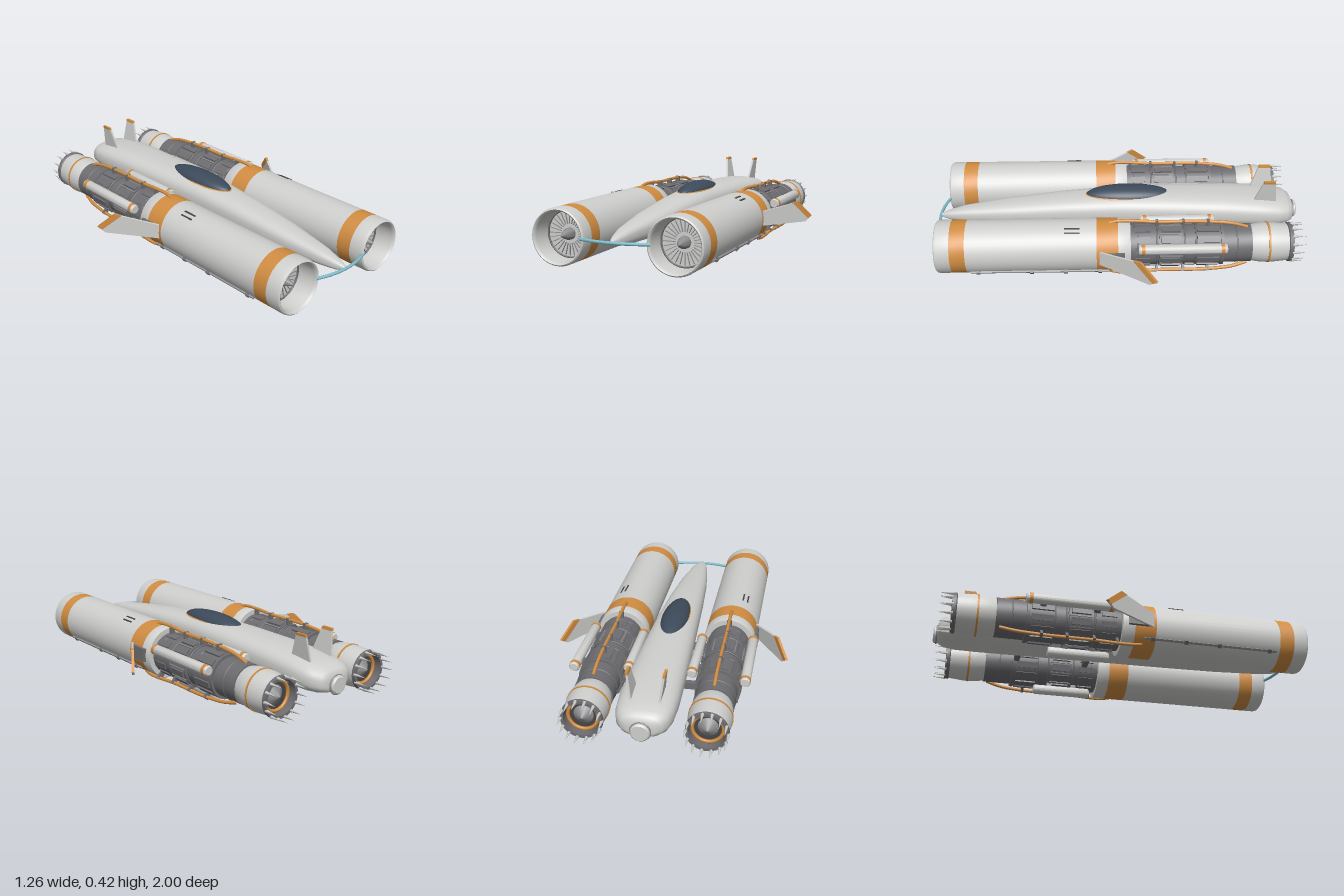
import * as THREE from 'three';
import { toCreasedNormals } from 'three/addons/utils/BufferGeometryUtils.js';

const mat = (name, color, side = THREE.FrontSide) => {
  const m = new THREE.MeshStandardMaterial({ color, side });
  m.name = name;
  return m;
};
const hull = mat('hull grey', 0xcfcfcd, THREE.DoubleSide);
const orange = mat('orange trim', 0xd18d42);
const dark = mat('engine grey', 0x6e6e72);
const mid = mat('mid grey', 0x8e8e90);
const black = mat('shadow grey', 0x46464a);
const glass = mat('canopy glass', 0x3c4a5a);
const teal = mat('energy teal', 0x7fbccb);

const EY = 0.176; // engine axis height
const EX = 0.3;   // engine axis offset

function add(parent, name, geo, material, x = 0, y = 0, z = 0) {
  const m = new THREE.Mesh(geo, material);
  m.name = name;
  m.position.set(x, y, z);
  parent.add(m);
  return m;
}

// Surface of revolution about z from [z, radius] pairs, back to front
function lathe(pts, seg = 40) {
  const g = new THREE.LatheGeometry(pts.map(([z, r]) => new THREE.Vector2(r, z)), seg);
  g.rotateX(Math.PI / 2);
  return toCreasedNormals(g, 0.6);
}
const drum = (z0, z1, r, seg) => lathe([[z0, 0], [z0, r], [z1, r], [z1, 0]], seg);

// Box placed on the engine surface at angle a
function surfaceBox(parent, name, material, a, r, z, w, h, len) {
  const m = add(parent, name, new THREE.BoxGeometry(h, w, len), material, Math.cos(a) * r, Math.sin(a) * r, z);
  m.rotation.z = a;
  return m;
}

function plate(points, depth) {
  const g = new THREE.ExtrudeGeometry(new THREE.Shape(points.map(p => new THREE.Vector2(...p))), { depth, bevelEnabled: false });
  return g.translate(0, 0, -depth / 2);
}

// Lofted body: [z, half width, bottom, top], nose to tail
function fuselageGeometry() {
  const rows = [
    [0.992, 0.003, 0.173, 0.179], [0.975, 0.013, 0.163, 0.19], [0.94, 0.026, 0.153, 0.203],
    [0.85, 0.047, 0.146, 0.226], [0.6, 0.08, 0.141, 0.262], [0.3, 0.102, 0.14, 0.295],
    [0, 0.118, 0.14, 0.317], [-0.3, 0.132, 0.14, 0.32], [-0.6, 0.142, 0.14, 0.315],
    [-0.78, 0.146, 0.14, 0.305], [-0.88, 0.14, 0.141, 0.292], [-0.935, 0.125, 0.145, 0.28],
    [-0.965, 0.1, 0.153, 0.263], [-0.977, 0.07, 0.165, 0.24], [-0.98, 0.003, 0.198, 0.2],
  ];
  const N = 40, pos = [], idx = [];
  const pw = v => Math.sign(v) * Math.abs(v) ** (2 / 2.6);
  rows.forEach(([z, w, b, t], i) => {
    for (let j = 0; j < N; j++) {
      const a = (j / N) * Math.PI * 2;
      pos.push(w * pw(Math.cos(a)), (b + t) / 2 + ((t - b) / 2) * pw(Math.sin(a)), z);
      if (i === rows.length - 1) continue;
      const k = (j + 1) % N, p = i * N, q = p + N;
      idx.push(p + j, q + j, p + k, q + j, q + k, p + k);
    }
  });
  const g = new THREE.BufferGeometry();
  g.setAttribute('position', new THREE.Float32BufferAttribute(pos, 3));
  g.setIndex(idx);
  g.computeVertexNormals();
  return g;
}

function buildEngine(s) {
  const e = new THREE.Group();
  e.name = s > 0 ? 'leftEngine' : 'rightEngine';
  e.position.set(s * EX, EY, 0);
  const ang = a => (s > 0 ? a : Math.PI - a); // mirror an angle

  // Cowl in painted sections
  add(e, 'cowlRear', lathe([[-0.06, 0.1], [-0.06, 0.137], [-0.05, 0.141], [0.005, 0.141]]), hull);
  add(e, 'cowlRearBand', lathe([[0.005, 0.141], [0.117, 0.141]]), orange);
  add(e, 'cowl', lathe([[0.117, 0.141], [0.8, 0.141]]), hull);
  add(e, 'cowlFrontBand', lathe([[0.8, 0.141], [0.88, 0.141]]), orange);
  add(e, 'intakeLip', lathe([[0.88, 0.141], [0.945, 0.141], [0.957, 0.138], [0.962, 0.132], [0.957, 0.126], [0.945, 0.122], [0.84, 0.12]]), hull);

  // Intake fan
  add(e, 'fanDisc', drum(0.82, 0.84, 0.121), hull);
  add(e, 'fanRing', new THREE.TorusGeometry(0.117, 0.005, 8, 40), dark, 0, 0, 0.845);
  for (let i = 0; i < 28; i++) surfaceBox(e, 'fanBlade', mid, (i / 28) * Math.PI * 2, 0.078, 0.842, 0.003, 0.06, 0.008);
  add(e, 'spinner', lathe([[0.84, 0.03], [0.86, 0.029], [0.89, 0.019], [0.92, 0.004], [0.922, 0]], 24), mid);

  // Exposed machinery core
  add(e, 'core', lathe([[-0.7, 0], [-0.7, 0.102], [-0.55, 0.102], [-0.55, 0.116], [-0.535, 0.116], [-0.535, 0.11],
    [-0.4, 0.11], [-0.4, 0.104], [-0.335, 0.104], [-0.335, 0.113], [-0.21, 0.113], [-0.21, 0.105],
    [-0.195, 0.105], [-0.195, 0.111], [-0.05, 0.111]]), dark);
  for (const z of [-0.405, -0.345, -0.2, -0.1, -0.62])
    add(e, 'coreRing', new THREE.TorusGeometry(z < -0.6 ? 0.101 : 0.109, 0.004, 8, 40), dark, 0, 0, z);
  for (let i = 0; i < 12; i++) {
    const a = ((i + 0.5) / 12) * Math.PI * 2;
    surfaceBox(e, 'rearPanel', dark, a, 0.111, -0.468, 0.032, 0.012, 0.115);
    surfaceBox(e, 'middlePanel', dark, a, 0.114, -0.272, 0.036, 0.012, 0.1);
    surfaceBox(e, 'coreRib', mid, a + 0.26, 0.112, -0.272, 0.005, 0.012, 0.12);
    surfaceBox(e, 'frontPanel', dark, a, 0.111, -0.125, 0.03, 0.01, 0.08);
  }

  // Fuel lines with clamps
  for (const a of [Math.PI / 2, ang(-0.93)]) {
    const path = [[0.05, 0.138], [0, 0.148], [-0.1, 0.147], [-0.2, 0.14], [-0.4, 0.14], [-0.5, 0.136], [-0.6, 0.125], [-0.68, 0.102]]
      .map(([z, r]) => new THREE.Vector3(Math.cos(a) * r, Math.sin(a) * r, z));
    add(e, 'fuelLine', new THREE.TubeGeometry(new THREE.CatmullRomCurve3(path), 32, 0.009, 8), orange);
    for (const z of [-0.08, -0.2, -0.34, -0.47]) surfaceBox(e, 'lineClamp', dark, a, 0.13, z, 0.026, 0.036, 0.014);
  }

  // Side and belly pods with banded ends
  for (const [x, y, r, z0, z1] of [[0.137, 0.06, 0.026, -0.56, -0.1], [-0.137, 0.058, 0.025, -0.52, -0.12], [-0.04, -0.146, 0.027, -0.42, -0.1]]) {
    const p = new THREE.Group();
    p.name = 'pod';
    p.position.set(s * x, y, 0);
    e.add(p);
    add(p, 'podBody', lathe([[z0, 0], [z0, r * 0.8], [z0 + 0.008, r], [z1 - 0.008, r], [z1, r * 0.8], [z1, 0]], 20), hull);
    if (y > 0) for (const z of [z0 + 0.015, z1 - 0.033]) add(p, 'podBand', drum(z, z + 0.018, r + 0.002, 20), orange);
    const a = Math.atan2(y, s * x);
    for (const z of [z0 + 0.09, z1 - 0.09]) surfaceBox(e, 'podMount', dark, a, 0.122, z, 0.03, 0.03, 0.03);
  }

  // Exhaust nozzle
  add(e, 'nozzle', lathe([[-0.9, 0.098], [-0.88, 0.1], [-0.82, 0.106], [-0.76, 0.106], [-0.72, 0.1], [-0.695, 0.094], [-0.695, 0]]), hull);
  add(e, 'nozzleBand', drum(-0.797, -0.787, 0.109), orange);
  add(e, 'nozzleRim', lathe([[-0.86, 0.086], [-0.92, 0.088], [-0.92, 0.103], [-0.9, 0.105], [-0.895, 0.098]]), dark);
  add(e, 'nozzleBack', drum(-0.87, -0.85, 0.09), black);
  add(e, 'exhaustRing', new THREE.TorusGeometry(0.074, 0.009, 10, 36), orange, 0, 0, -0.882);
  add(e, 'exhaustCone', lathe([[-0.91, 0], [-0.87, 0.05], [-0.86, 0.05]], 24), mid);
  for (let i = 0; i < 14; i++) {
    const a = (i / 14) * Math.PI * 2;
    const spike = new THREE.ConeGeometry(0.009, 0.075, 6).rotateX(-Math.PI / 2);
    add(e, 'nozzleSpike', spike, hull, Math.cos(a) * 0.1, Math.sin(a) * 0.1, -0.95);
  }

  // Cowl vents and lower rail
  for (const x of [0.045, 0.07]) {
    const a = Math.atan2(Math.sqrt(0.141 ** 2 - x * x), s * x);
    surfaceBox(e, 'vent', black, a, 0.14, 0.245, 0.008, 0.008, 0.08);
  }
  const ra = ang(-0.66);
  surfaceBox(e, 'rail', mid, ra, 0.144, 0.415, 0.012, 0.012, 0.73);
  for (const z of [0.1, 0.28, 0.46, 0.74]) surfaceBox(e, 'railBracket', dark, ra, 0.146, z, 0.02, 0.018, 0.02);

  // Swept stabiliser with painted tip
  surfaceBox(e, 'wingMount', dark, ang(0.03), 0.143, 0.025, 0.07, 0.02, 0.11);
  const wing = new THREE.Group();
  wing.name = 'wing';
  wing.position.set(s * 0.135, -EY, 0.1);
  wing.rotation.y = s > 0 ? 0.987 : Math.PI - 0.987;
  e.add(wing);
  add(wing, 'wingPanel', plate([[0, 0.145], [0.3, 0.14], [0.34, 0.168], [0.243, 0.253], [0, 0.222]], 0.011), hull);
  add(wing, 'wingTip', plate([[0.318, 0.155], [0.345, 0.17], [0.246, 0.256], [0.205, 0.25]], 0.014), orange);
  return e;
}

export function createModel() {
  const model = new THREE.Group();
  model.name = 'racer';

  // Central body
  add(model, 'fuselage', fuselageGeometry(), hull);
  add(model, 'tailCap', lathe([[-1, 0], [-1, 0.04], [-0.993, 0.047], [-0.97, 0.047]], 28), hull, 0, 0.19, 0);
  add(model, 'tailRing', new THREE.TorusGeometry(0.048, 0.004, 8, 28), mid, 0, 0.19, -0.982);
  const dome = (name, m, x, y, z, cy) => add(model, name, new THREE.SphereGeometry(1, 40, 24).scale(x, y, z), m, 0, cy, -0.06);
  dome('canopyRim', orange, 0.08, 0.03, 0.243, 0.297);
  dome('canopy', glass, 0.074, 0.05, 0.232, 0.3);

  for (const s of [1, -1]) {
    model.add(buildEngine(s));

    // Struts from body to engine
    for (const z of [-0.53, -0.14]) add(model, 'strut', new THREE.BoxGeometry(0.1, 0.035, 0.03), dark, s * 0.155, 0.18, z);

    // Leaning tail fins with painted caps
    const fin = (name, pts, depth, m) => {
      const g = plate(pts, depth).rotateY(Math.PI / 2);
      const p = g.attributes.position;
      for (let i = 0; i < p.count; i++) p.setX(i, p.getX(i) + s * (0.072 + (p.getY(i) - 0.3) * 0.14));
      g.computeVertexNormals();
      add(model, name, g, m);
    };
    fin('tailFin', [[0.74, 0.27], [0.875, 0.27], [0.856, 0.41], [0.79, 0.41]], 0.011, hull);
    fin('tailFinCap', [[0.79, 0.408], [0.857, 0.408], [0.855, 0.422], [0.795, 0.422]], 0.013, orange);
  }

  // Glowing link across the intakes
  const arc = new THREE.CatmullRomCurve3([[-0.18, 0.955], [-0.1, 0.978], [0, 0.989], [0.1, 0.978], [0.18, 0.955]]
    .map(([x, z]) => new THREE.Vector3(x, 0.176, z)));
  add(model, 'energyLink', new THREE.TubeGeometry(arc, 32, 0.008, 10), teal);
  return model;
}
